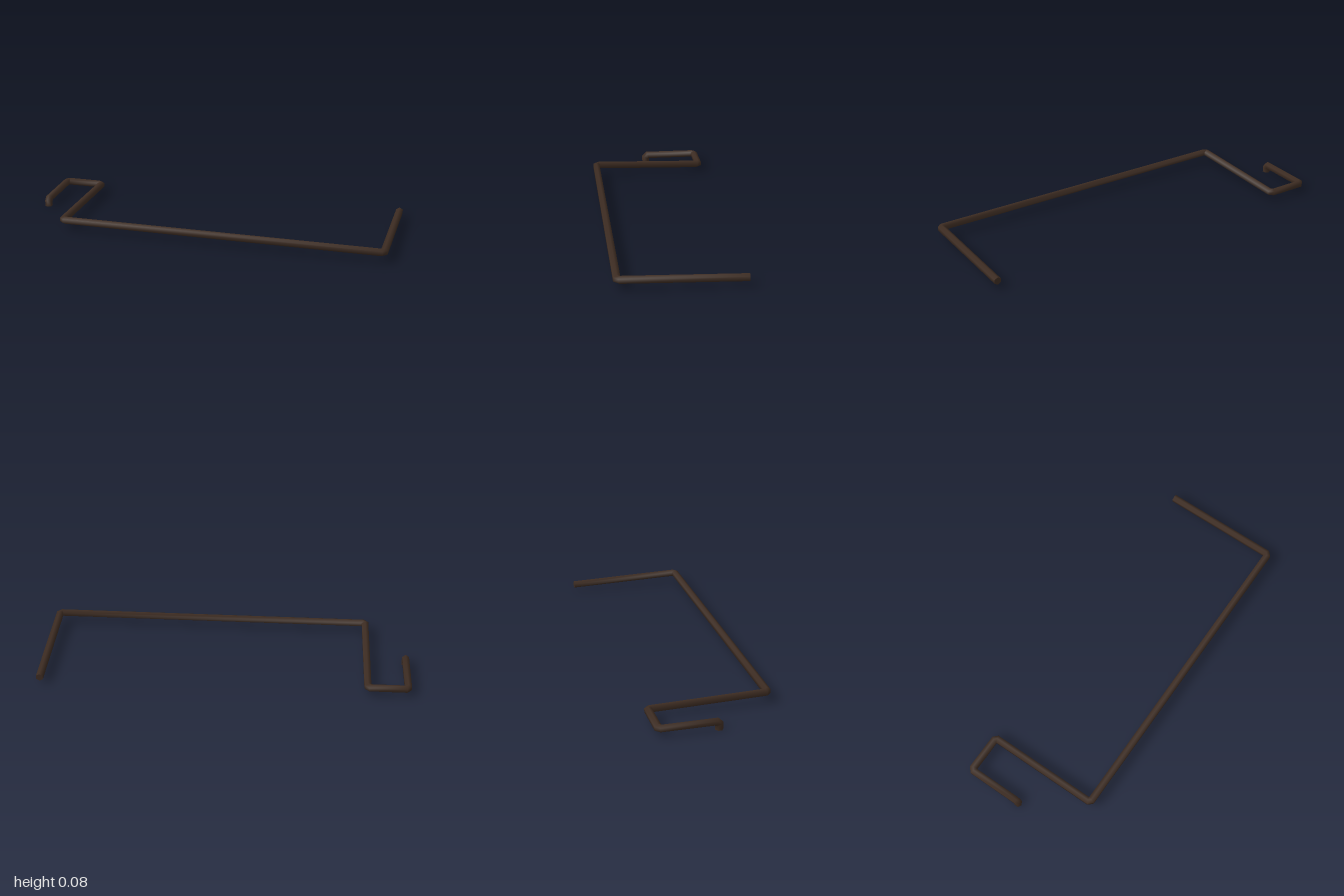
import * as THREE from 'three';

const SIDES = 6, RADIUS = 0.021, BEND = 0.0135;

// Cut each corner of a path once, so every bend becomes two mitred joints
function chamferPath(corners) {
  const out = [corners[0]];
  for (let i = 1; i < corners.length - 1; i++) {
    const p = corners[i];
    for (const q of [corners[i - 1], corners[i + 1]]) {
      out.push(p.clone().addScaledVector(q.clone().sub(p).normalize(), BEND));
    }
  }
  out.push(corners[corners.length - 1]);
  return out;
}

// Sweep a hexagon along the path, projecting it onto the mitre plane of each joint
function sweepRings(path) {
  const dirs = path.slice(1).map((p, i) => p.clone().sub(path[i]).normalize());
  const side = new THREE.Vector3(0, 1, 0).cross(dirs[0]).normalize();
  const up = dirs[0].clone().cross(side);
  let offsets = Array.from({ length: SIDES }, (_, j) => {
    const a = Math.PI / 2 + (j / SIDES) * Math.PI * 2;
    return side.clone().multiplyScalar(Math.cos(a) * RADIUS).addScaledVector(up, Math.sin(a) * RADIUS);
  });
  return path.map((p, i) => {
    const before = dirs[Math.max(i - 1, 0)];
    const after = dirs[Math.min(i, dirs.length - 1)];
    const n = before.clone().add(after).normalize();
    const mitred = offsets.map((o) => o.clone().addScaledVector(before, -o.dot(n) / before.dot(n)));
    offsets = mitred.map((o) => o.clone().addScaledVector(after, -o.dot(after)));
    return { center: p, offsets: mitred };
  });
}

function tubeGeometry(rings) {
  const pos = [], nor = [], index = [];
  rings.forEach(({ center, offsets }, i) => {
    offsets.forEach((o, j) => {
      pos.push(...center.clone().add(o).toArray());
      nor.push(...o.clone().normalize().toArray());
      if (i === 0) return;
      const k = (j + 1) % SIDES, a = (i - 1) * SIDES, b = i * SIDES;
      index.push(a + j, a + k, b + j, a + k, b + k, b + j);
    });
  });
  const g = new THREE.BufferGeometry();
  g.setAttribute('position', new THREE.Float32BufferAttribute(pos, 3));
  g.setAttribute('normal', new THREE.Float32BufferAttribute(nor, 3));
  g.setIndex(index);
  return g;
}

// Flat hexagonal end face
function capGeometry({ center, offsets }, flip) {
  const pos = offsets.flatMap((o) => center.clone().add(o).toArray());
  const index = [];
  for (let j = 1; j < SIDES - 1; j++) index.push(0, ...(flip ? [j + 1, j] : [j, j + 1]));
  const g = new THREE.BufferGeometry();
  g.setAttribute('position', new THREE.Float32BufferAttribute(pos, 3));
  g.setIndex(index);
  g.computeVertexNormals();
  return g;
}

export function createModel() {
  const group = new THREE.Group();
  group.name = 'bentPipe';
  const brown = new THREE.MeshStandardMaterial({ name: 'darkBrown', color: 0x3d2c22 });
  const brass = new THREE.MeshStandardMaterial({ name: 'brass', color: 0x7a5a1e });

  const add = (name, geometry, material) => {
    const mesh = new THREE.Mesh(geometry, material);
    mesh.name = name;
    group.add(mesh);
  };

  // Left arm, front bar, right arm, hook and short downward spout
  const corners = [
    [0.982, 0.042, -0.33],
    [0.982, 0.0565, 0.312],
    [-0.769, 0.0565, 0.312],
    [-0.769, 0.043, -0.312],
    [-0.982, 0.043, -0.312],
    [-0.982, 0.042, -0.009],
    [-0.982, 0, -0.009],
  ].map((c) => new THREE.Vector3(...c));

  const rings = sweepRings(chamferPath(corners));
  add('pipe', tubeGeometry(rings), brown);
  add('backEndCap', capGeometry(rings[0], true), brown);
  add('spoutEndCap', capGeometry(rings[rings.length - 1], false), brass);
  return group;
}
